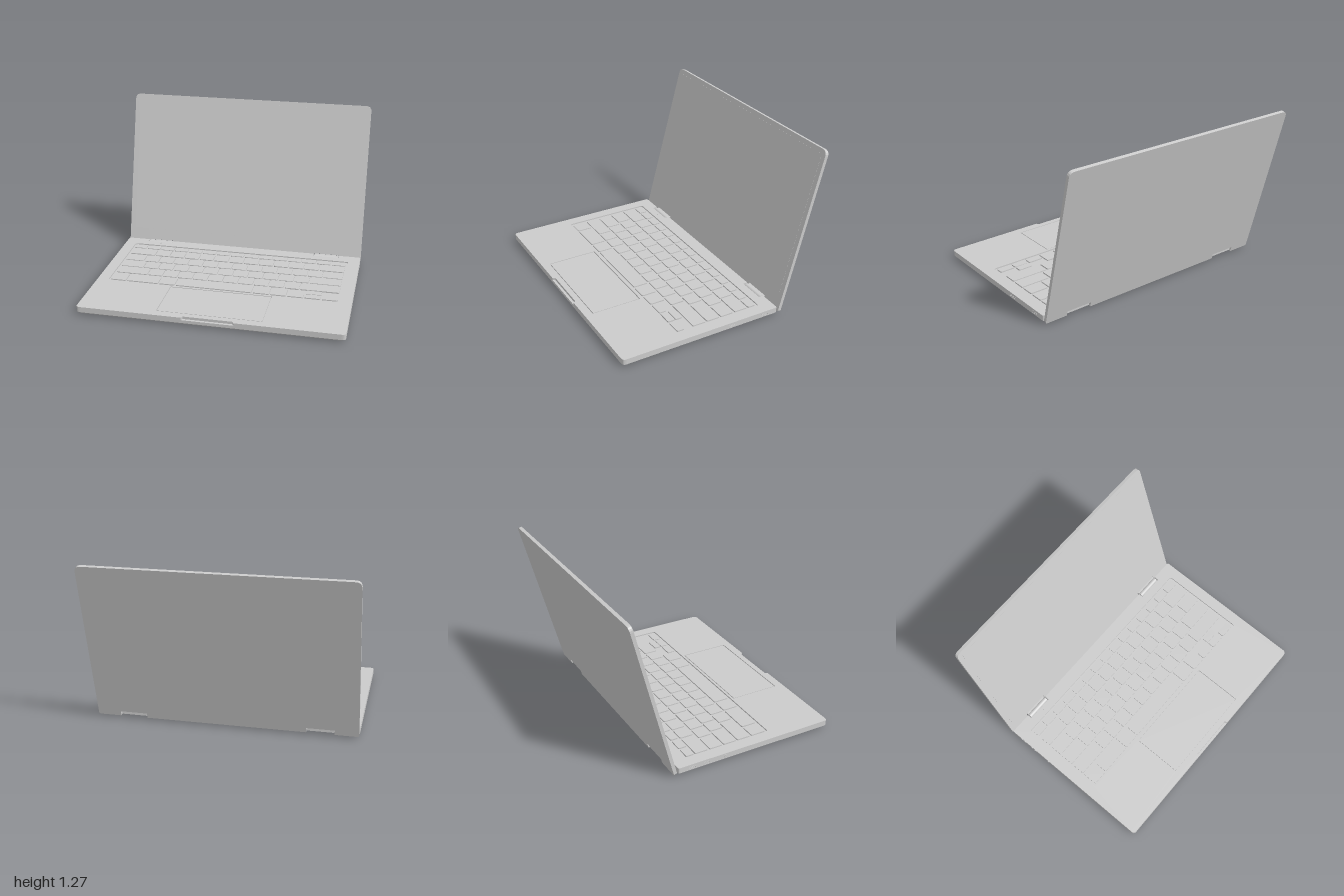
import * as THREE from 'three';

const grey = new THREE.MeshStandardMaterial({ color: 0xcccccc });

// Closed outline through corners [x, y, radius], each corner rounded.
function trace(path, corners) {
  const n = corners.length;
  corners.forEach(([x, y, r = 0], i) => {
    const toward = ([qx, qy]) => {
      const d = Math.hypot(qx - x, qy - y);
      return [x + ((qx - x) * r) / d, y + ((qy - y) * r) / d];
    };
    const a = toward(corners[(i + n - 1) % n]);
    const b = toward(corners[(i + 1) % n]);
    if (i === 0) path.moveTo(...a);
    else path.lineTo(...a);
    if (r > 0) path.quadraticCurveTo(x, y, ...b);
  });
  path.closePath();
  return path;
}

const rect = (x0, x1, y0, y1, r) => [[x0, y0, r], [x1, y0, r], [x1, y1, r], [x0, y1, r]];

function add(parent, name, geometry) {
  const mesh = new THREE.Mesh(geometry, grey);
  mesh.name = name;
  parent.add(mesh);
  return mesh;
}

function extrude(corners, depth, holes = []) {
  const shape = trace(new THREE.Shape(), corners);
  holes.forEach((h) => shape.holes.push(trace(new THREE.Path(), h)));
  return new THREE.ExtrudeGeometry(shape, { depth, bevelEnabled: false, curveSegments: 5 });
}

// Horizontal plate between heights y0 and y1; outline is given as (x, -z).
const plate = (corners, y0, y1, holes) =>
  extrude(corners, y1 - y0, holes).rotateX(-Math.PI / 2).translate(0, y0, 0);

const HINGE = [0.61, 0.82];

// Base outline with two hinge notches at the back and an optional finger notch in front.
function baseOutline(fingerNotch) {
  const [a, b] = HINGE, back = 0.467, front = -0.83, inner = 0.43;
  const finger = fingerNotch
    ? [[-0.195, front], [-0.185, front + 0.02], [0.185, front + 0.02], [0.195, front]]
    : [];
  return [
    [-1, front, 0.03], ...finger, [1, front, 0.03], [1, back, 0.015],
    [b, back], [b, inner], [a, inner], [a, back],
    [-a, back], [-a, inner], [-b, inner], [-b, back], [-1, back, 0.015],
  ];
}

function buildBase() {
  const base = new THREE.Group();
  base.name = 'base';

  // Bottom cover, narrowing toward the underside
  const cover = plate(baseOutline(false), 0.008, 0.022);
  const p = cover.attributes.position;
  for (let i = 0; i < p.count; i++) {
    if (p.getY(i) < 0.015) p.setXYZ(i, p.getX(i) * 0.975, p.getY(i), (p.getZ(i) - 0.18) * 0.975 + 0.18);
  }
  cover.computeVertexNormals();
  add(base, 'bottomCover', cover);

  // Body layers and the top deck with openings for keyboard and touchpad
  add(base, 'lowerBody', plate(baseOutline(false), 0.022, 0.045));
  add(base, 'upperBody', plate(baseOutline(true), 0.045, 0.055));
  add(base, 'deck', plate(baseOutline(true), 0.055, 0.065, [
    rect(-0.912, 0.91, -0.348, 0.362, 0.02),
    rect(-0.4, 0.398, -0.766, -0.368, 0.008),
  ]));
  add(base, 'touchpad', plate(rect(-0.394, 0.392, -0.76, -0.374, 0.006), 0.055, 0.064));
  add(base, 'powerLight', new THREE.CylinderGeometry(0.006, 0.006, 0.006, 12)).position.set(-0.7, 0.067, -0.405);

  // Feet
  for (const x of [-0.9, 0.9]) for (const z of [-0.35, 0.67]) {
    add(base, 'foot', new THREE.CylinderGeometry(0.038, 0.032, 0.01, 24)).position.set(x, 0.005, z);
  }

  // Side ports: [side, z, width, height], each a frame with a tongue
  const ports = [[1, -0.07, 0.075, 0.014], [1, -0.355, 0.055, 0.018],
    [-1, -0.355, 0.055, 0.018], [-1, -0.24, 0.055, 0.018]];
  for (const [side, z, w, h] of ports) {
    const frame = extrude(rect(-w / 2, w / 2, -h / 2, h / 2, 0.005), 0.002,
      [rect(-w / 2 + 0.004, w / 2 - 0.004, -h / 2 + 0.003, h / 2 - 0.003, 0.003)]);
    const port = add(base, 'portFrame', frame);
    port.rotation.y = (side * Math.PI) / 2;
    port.position.set(side * 0.9995, 0.04, z);
    add(base, 'portTongue', new THREE.BoxGeometry(0.002, h * 0.3, w * 0.65)).position.set(side * 1.0002, 0.04, z);
  }
  const jack = add(base, 'audioJack', new THREE.TorusGeometry(0.01, 0.002, 6, 20));
  jack.rotation.y = Math.PI / 2;
  jack.position.set(-1, 0.042, -0.08);
  return base;
}

function buildKeyboard() {
  const keyboard = new THREE.Group();
  keyboard.name = 'keyboard';
  const left = -0.9, right = 0.896, gap = 0.006;
  const key = (x0, x1, z0, z1) =>
    add(keyboard, 'key', plate(rect(x0 + gap, x1 - gap, -z1, -z0, 0.01), 0.054, 0.0645));

  // Rows: [back z, front z, end of first key, start of last key, keys between]
  const rows = [
    [-0.345, -0.282, -0.79, 0.775, 13],
    [-0.27, -0.163, -0.68, 0.693, 11],
    [-0.148, -0.04, -0.738, 0.735, 12],
    [-0.029, 0.08, -0.706, 0.643, 11],
    [0.09, 0.2, -0.636, 0.585, 10],
  ];
  for (const [z0, z1, a, b, n] of rows) {
    key(left, a, z0, z1);
    const w = (b - a) / n;
    for (let i = 0; i < n; i++) key(a + i * w, a + (i + 1) * w, z0, z1);
    key(b, right, z0, z1);
  }

  // Space bar row and arrow cluster
  const stops = [left, -0.77, -0.508, -0.374, 0.235, 0.373, 0.503];
  for (let i = 0; i < stops.length - 1; i++) key(stops[i], stops[i + 1], 0.212, 0.332);
  key(0.503, 0.635, 0.272, 0.332);
  key(0.635, 0.765, 0.212, 0.268);
  key(0.635, 0.765, 0.274, 0.332);
  key(0.765, right, 0.272, 0.332);
  return keyboard;
}

function buildLid() {
  const lid = new THREE.Group();
  lid.name = 'lid';
  const [a, b] = HINGE, cut = 0.04, top = 1.29;
  const outline = [
    [-1, 0, 0.015], [-b, 0], [-b, cut], [-a, cut], [-a, 0],
    [a, 0], [a, cut], [b, cut], [b, 0], [1, 0, 0.015], [1, top, 0.045], [-1, top, 0.045],
  ];
  add(lid, 'lidShell', extrude(outline, 0.026).translate(0, 0, -0.026));
  add(lid, 'screen', extrude(rect(-0.96, 0.96, 0.13, 1.253, 0.004), 0.001));
  lid.position.set(0, 0.022, -0.475);
  lid.rotation.x = -0.258;
  return lid;
}

export function createModel() {
  const model = new THREE.Group();
  model.name = 'laptop';
  model.add(buildBase(), buildKeyboard(), buildLid());

  // Hinge barrels with a leaf reaching into the lid
  for (const side of [-1, 1]) {
    const hinge = new THREE.Group();
    hinge.name = 'hinge';
    const barrel = add(hinge, 'hingeBarrel', new THREE.CylinderGeometry(0.021, 0.021, 0.198, 20));
    barrel.rotation.z = Math.PI / 2;
    barrel.position.set(0, 0.042, -0.457);
    add(hinge, 'hingeLeaf', new THREE.BoxGeometry(0.198, 0.026, 0.04)).position.set(0, 0.042, -0.476);
    hinge.position.x = side * 0.715;
    model.add(hinge);
  }
  return model;
}
